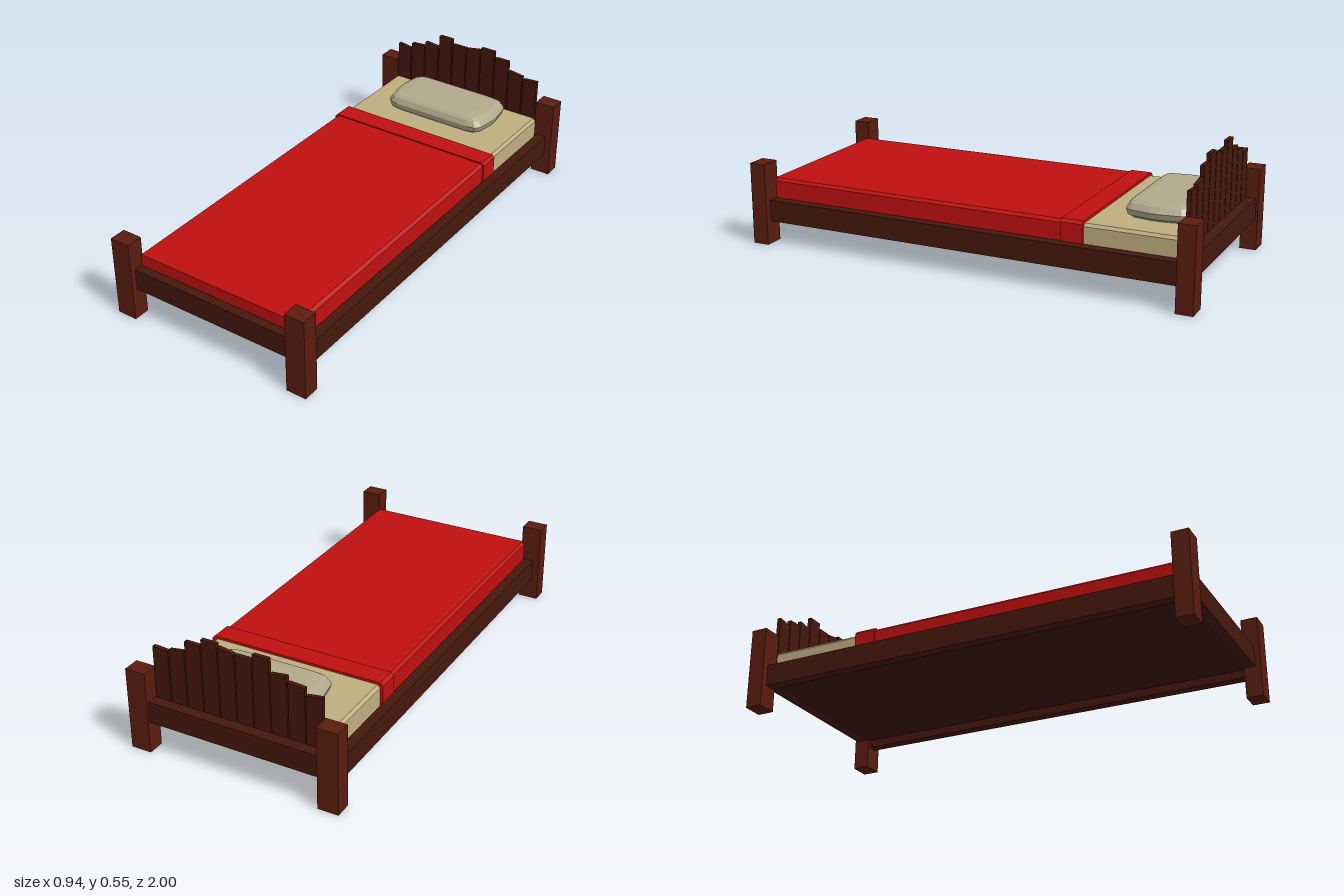
import * as THREE from 'three';
import { ConvexGeometry } from 'three/addons/geometries/ConvexGeometry.js';

const material = (color) => new THREE.MeshStandardMaterial({ color, flatShading: true });

export function createModel() {
  const bed = new THREE.Group();
  bed.name = 'bed';
  const postWood = material(0x5a1c10);
  const wood = material(0x45170c);
  const darkWood = material(0x3a140b);
  const red = material(0xc01010);
  const sheet = material(0xbfae80);
  const pillowCloth = material(0xb3a88c);

  const add = (name, geometry, mat) => {
    const mesh = new THREE.Mesh(geometry, mat);
    mesh.name = name;
    bed.add(mesh);
    return mesh;
  };

  // Box given by its lower and upper limits on each axis
  const box = (name, mat, [x0, x1], [y0, y1], [z0, z1]) =>
    add(name, new THREE.BoxGeometry(x1 - x0, y1 - y0, z1 - z0), mat)
      .position.set((x0 + x1) / 2, (y0 + y1) / 2, (z0 + z1) / 2);

  // Outline in x and y, extruded from z0 to z1
  const prism = (name, mat, points, z0, z1) => {
    const shape = new THREE.Shape(points.map(([x, y]) => new THREE.Vector2(x, y)));
    const geometry = new THREE.ExtrudeGeometry(shape, { depth: z1 - z0, bevelEnabled: false });
    add(name, geometry, mat).position.z = z0;
  };

  // Bedding layer with chamfered upper long edges
  const layer = (name, mat, w, y0, y1, z0, z1, c = 0.012) =>
    prism(name, mat, [[-w, y0], [w, y0], [w, y1 - c], [w - c, y1], [-w + c, y1], [-w, y1 - c]], z0, z1);

  // Corner posts and side rails
  for (const [side, s] of [['left', 1], ['right', -1]]) {
    const span = (a, b) => (s > 0 ? [a, b] : [-b, -a]);
    box(side + 'FrontPost', postWood, span(0.38, 0.47), [0, 0.36], [0.927, 1]);
    box(side + 'BackPost', postWood, span(0.38, 0.47), [0, 0.36], [-1, -0.927]);
    box(side + 'SideRail', wood, span(0.395, 0.44), [0.10, 0.195], [-0.95, 0.95]);
  }

  // End rails and base panel
  box('footRail', wood, [-0.39, 0.39], [0.135, 0.23], [0.935, 0.975]);
  box('headRail', wood, [-0.39, 0.39], [0.135, 0.23], [-0.99, -0.942]);
  box('basePanel', darkWood, [-0.4, 0.4], [0.135, 0.15], [-0.95, 0.94]);

  // Headboard slats: heights of the right and left top corners
  const slatTops = [
    [0.45, 0.441], [0.47, 0.475], [0.498, 0.49], [0.55, 0.55], [0.526, 0.526],
    [0.526, 0.538], [0.55, 0.55], [0.521, 0.521], [0.475, 0.465], [0.455, 0.46],
  ];
  slatTops.forEach(([a, b], i) => {
    const x = -0.376 + i * 0.0755;
    prism('headboardSlat' + (i + 1), wood, [[x, 0.14], [x + 0.07, 0.14], [x + 0.07, b], [x, a]], -0.944, -0.926);
  });

  // Mattress, blanket and folded blanket edge
  layer('mattress', sheet, 0.385, 0.15, 0.275, -0.922, 0.925);
  layer('blanket', red, 0.391, 0.16, 0.281, -0.44, 0.934);
  layer('blanketFold', red, 0.398, 0.16, 0.286, -0.515, -0.422);

  // Pillow: stacked outlines [height, inset], wrapped in a faceted skin
  const quarter = [[0.26, 0.02], [0.246, 0.108], [0.228, 0.13], [0.19, 0.136]];
  const levels = [[0.273, 0.03], [0.287, 0.008], [0.312, 0], [0.336, 0.016], [0.346, 0.034], [0.35, 0.075]];
  const points = [];
  for (const [y, inset] of levels)
    for (const [x, z] of quarter)
      for (const sx of [1, -1])
        for (const sz of [1, -1])
          points.push(new THREE.Vector3(
            sx * x * (1 - inset / 0.26), y, sz * z * (1 - inset / 0.2)));
  add('pillow', new ConvexGeometry(points), pillowCloth).position.z = -0.76;

  return bed;
}
